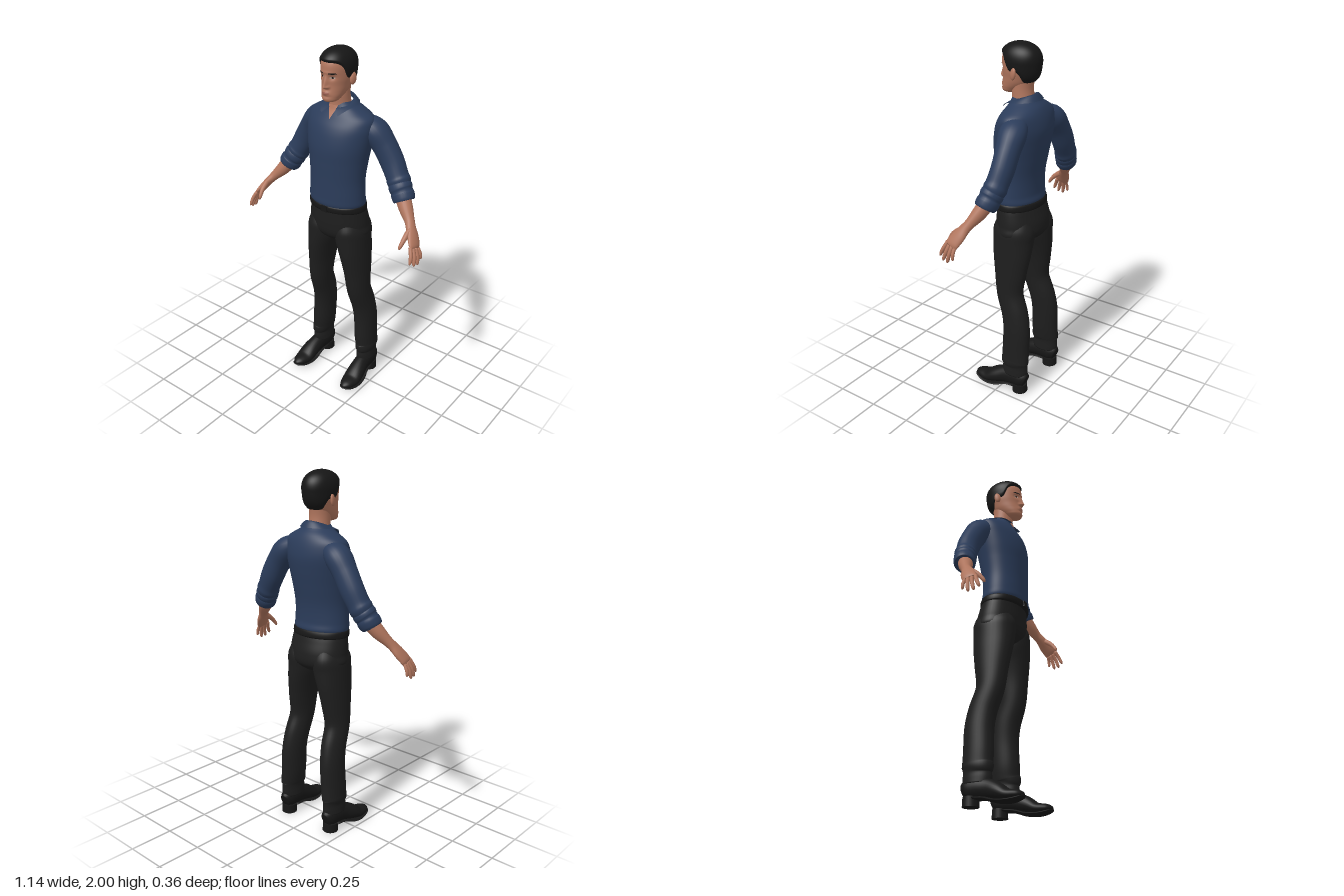
import * as THREE from 'three';

const mat = (name, color, side = THREE.FrontSide) => {
  const m = new THREE.MeshStandardMaterial({ color, side });
  m.name = name;
  return m;
};
const lerp = THREE.MathUtils.lerp;
const gauss = (d, w) => Math.exp(-(d * d) / (w * w));

// Smooth cubic interpolation of table rows, keyed on column 0
function interp(rows, k) {
  const n = rows.length - 1;
  k = Math.min(Math.max(k, rows[0][0]), rows[n][0]);
  let i = 0;
  while (i < n - 1 && k > rows[i + 1][0]) i++;
  const h = rows[i + 1][0] - rows[i][0], t = (k - rows[i][0]) / h;
  const slope = (j, c) => {
    const a = rows[Math.max(j - 1, 0)], b = rows[Math.min(j + 1, n)];
    return (b[c] - a[c]) / (b[0] - a[0]);
  };
  return rows[i].map((p, c) => {
    const q = rows[i + 1][c], t2 = t * t, t3 = t2 * t;
    return p * (2 * t3 - 3 * t2 + 1) + q * (3 * t2 - 2 * t3)
      + h * (slope(i, c) * (t3 - 2 * t2 + t) + slope(i + 1, c) * (t3 - t2));
  });
}

// Surface grid from f(u, v); wrapped grids share the seam vertices
function grid(nu, nv, f, wrap = true) {
  const pos = [], idx = [], cols = wrap ? nu : nu + 1;
  for (let j = 0; j <= nv; j++) for (let i = 0; i < cols; i++) pos.push(...f(i / nu, j / nv));
  for (let j = 0; j < nv; j++) for (let i = 0; i < nu; i++) {
    const a = j * cols + i, b = j * cols + (i + 1) % cols;
    idx.push(a, b, b + cols, a, b + cols, a + cols);
  }
  const g = new THREE.BufferGeometry();
  g.setAttribute('position', new THREE.Float32BufferAttribute(pos, 3));
  g.setIndex(idx);
  g.computeVertexNormals();
  return g;
}

// Upright body from rows [y, half width, front z, back z]
function ringPoint(rows, y, a) {
  const [, rx, zf, zb] = interp(rows, y);
  return [rx * Math.sin(a), y, (zf + zb) / 2 + (zf - zb) / 2 * Math.cos(a)];
}
const body = (rows, nu = 48, nv = 40) => grid(nu, nv, (u, v) =>
  ringPoint(rows, lerp(rows[0][0], rows[rows.length - 1][0], v), u * Math.PI * 2));

// Limb through points [x, y, z, radius across, radius in depth]; round = rounded share of the tip
function limb(points, { ref = [0, 0, 1], nu = 24, nv = 40, round = 0 } = {}) {
  const rows = points.map((p, i) => [i, ...p]), n = rows.length - 1;
  const R = new THREE.Vector3(...ref);
  const P = k => new THREE.Vector3(...interp(rows, k).slice(1, 4));
  return grid(nu, nv + 2, (u, v) => {
    const j = Math.round(v * (nv + 2));
    let t = Math.min(Math.max((j - 1) / nv, 0), 1);
    if (round) t = Math.sin(t * Math.PI / 2);
    const k = t * n, c = P(k);
    const T = P(Math.min(k + 0.02, n)).sub(P(Math.max(k - 0.02, 0))).normalize();
    const U = R.clone().cross(T).normalize(), V = T.clone().cross(U);
    let s = j === 0 || j === nv + 2 ? 0 : 1;
    if (round && t > 1 - round) s *= Math.sqrt(Math.max(0, 1 - ((t - 1 + round) / round) ** 2));
    const [, , , , ra, rb] = interp(rows, k), a = u * Math.PI * 2;
    return c.addScaledVector(U, Math.cos(a) * ra * s).addScaledVector(V, Math.sin(a) * rb * s).toArray();
  });
}

const SHIRT = [[1.145, .158, .1, -.12], [1.16, .168, .112, -.132], [1.2, .167, .113, -.126], [1.3, .163, .113, -.13],
  [1.4, .172, .115, -.148], [1.48, .185, .115, -.163], [1.55, .196, .103, -.172], [1.6, .2, .085, -.168],
  [1.645, .188, .058, -.156], [1.68, .13, .038, -.138], [1.7, .092, .032, -.118], [1.72, .066, .026, -.1]];
const HIPS = [[.905, .012, -.01, -.05], [.93, .09, .05, -.11], [.97, .178, .088, -.154], [1.03, .18, .1, -.16],
  [1.1, .173, .1, -.142], [1.15, .164, .1, -.125]];
const BELT = [[1.118, .166, .1, -.13], [1.124, .173, .111, -.139], [1.156, .17, .112, -.136], [1.162, .16, .1, -.125]];
const NECK = [[1.64, .075, .05, -.1], [1.7, .06, .034, -.088], [1.76, .056, .035, -.08], [1.82, .056, .03, -.085]];
const HEAD = [[1.727, .002, .062, .058], [1.738, .036, .092, .015], [1.76, .052, .099, -.03], [1.79, .064, .094, -.075],
  [1.82, .071, .09, -.098], [1.85, .077, .091, -.112], [1.9, .081, .093, -.12]];
const HEAD_TOP = 1.988;
// Hairline height by angle from the face
const HAIRLINE = [[0, 1.936], [.7, 1.932], [1.05, 1.91], [1.3, 1.86], [1.55, 1.85], [1.8, 1.85], [2.3, 1.8], [3.15, 1.792]];

// Facial relief
function relief(x, y) {
  const ax = Math.abs(x);
  const ridge = y > 1.815 ? Math.min(1, Math.max(0, (1.88 - y) / .065)) : gauss(1.815 - y, .008);
  return .026 * ridge * gauss(x, .0125) + .007 * gauss(ax - .015, .007) * gauss(y - 1.814, .008)
    - .009 * gauss(ax - .032, .016) * gauss(y - 1.862, .013) + .004 * gauss(y - 1.886, .01) * gauss(x, .05)
    + .006 * gauss(x, .024) * gauss(y - 1.783, .011) - .004 * gauss(x, .03) * gauss(y - 1.765, .007);
}
function headPoint(y, a) {
  const p = ringPoint(HEAD, Math.min(y, 1.9), a);
  const k = Math.max(0, (y - 1.9) / (HEAD_TOP - 1.9)), s = Math.sqrt(Math.max(0, 1 - k ** 2.4));
  const z = -.0135 + (p[2] + .0135) * s;
  return [p[0] * s, y, (k > 0 ? z : p[2]) + relief(p[0], y) * Math.max(0, Math.cos(a)) * s];
}
// Thin oval laid on the face
const facePatch = (cx, cy, rx, ry, lift) => grid(24, 4, (u, v) => {
  const a = u * Math.PI * 2, x = cx + rx * (1 - v) * Math.cos(a), y = cy + ry * (1 - v) * Math.sin(a);
  const w = interp(HEAD, y)[1];
  return [x, y, headPoint(y, Math.asin(x / w))[2] + lift];
});

export function createModel() {
  const model = new THREE.Group();
  const skin = mat('skin', 0xb1765e), navy = mat('navy cloth', 0x2b3c5a);
  const collarCloth = mat('collar cloth', 0x293a57, THREE.DoubleSide);
  const black = mat('trouser cloth', 0x1e1e1e), leather = mat('black leather', 0x171717);
  const hairMat = mat('black hair', 0x161616), eyeWhite = mat('eye white', 0xb5a69c);
  const iris = mat('dark iris', 0x24150f), lip = mat('lips', 0x9c5f50);
  const add = (name, geo, material, parent = model) => {
    const m = new THREE.Mesh(geo, material);
    m.name = name;
    parent.add(m);
    return m;
  };

  // Torso and waist
  add('shirt', body(SHIRT, 64, 60), navy);
  add('trouserHips', body(HIPS), black);
  add('belt', body(BELT, 48, 8), leather);
  add('buckle', new THREE.BoxGeometry(.04, .034, .01), leather).position.set(0, 1.14, .113);
  add('neck', body(NECK, 32, 16), skin);
  add('openNeckline', grid(8, 8, (u, v) => {
    const y = lerp(1.635, 1.705, v), x = (2 * u - 1) * .03 * v;
    return [x, y, ringPoint(SHIRT, y, Math.asin(x / interp(SHIRT, y)[1]))[2] + .004];
  }, false), skin);

  // Folded collar: up the inside, over the top, down to the pointed front
  add('collar', grid(48, 8, (u, v) => {
    const fold = Math.max(0, (v - .5) * 2), rise = Math.min(1, v * 2);
    const gap = lerp(.28, .55, fold), a = lerp(gap, Math.PI * 2 - gap, u), c = Math.cos(a);
    const top = 1.72 - .025 * c - (1 - rise) * .03;
    const low = 1.702 - .008 * c - .052 * Math.max(0, c) ** 3;
    const rz = c > 0 ? lerp(.07, .12, fold) : lerp(.07, .095, fold);
    return [lerp(.066, .1, fold) * Math.sin(a), lerp(top, low, fold ** 1.3), -.036 + rz * c];
  }, false), collarCloth);

  // Head and hair
  add('head', grid(128, 90, (u, v) => {
    const y = v < .75 ? lerp(1.727, 1.9, v / .75) : 1.9 + (HEAD_TOP - 1.9) * Math.sin((v - .75) * 2 * Math.PI);
    return headPoint(y, u * Math.PI * 2);
  }), skin);
  add('hair', grid(72, 30, (u, v) => {
    const a = u * Math.PI * 2, line = interp(HAIRLINE, Math.min(a, Math.PI * 2 - a))[1];
    const p = headPoint(lerp(line, HEAD_TOP, Math.sin(v * Math.PI / 2)), a);
    const s = lerp(.97, 1.11, Math.min(1, v * 9) ** .6);
    return [p[0] * s, 1.88 + (p[1] - 1.88) * s, -.02 + (p[2] + .02) * s];
  }), hairMat);
  add('mouth', facePatch(0, 1.782, .023, .007, .0015), lip);

  for (const s of [1, -1]) {
    const side = new THREE.Group();
    side.name = s > 0 ? 'leftSide' : 'rightSide';
    model.add(side);
    const put = (name, pts, material, opt) => add(name, limb(pts.map(([x, ...r]) => [x * s, ...r]), opt), material, side);

    // Face details
    add('eye', facePatch(s * .032, 1.862, .013, .005, .0015), eyeWhite, side);
    add('iris', facePatch(s * .032, 1.862, .0055, .005, .0025), iris, side);
    add('eyebrow', facePatch(s * .034, 1.884, .019, .0035, .002), hairMat, side);
    const ear = add('ear', new THREE.SphereGeometry(1, 20, 14), skin, side);
    ear.scale.set(.011, .032, .019);
    ear.position.set(s * .087, 1.848, -.02);
    ear.rotation.set(-.15, s * -.35, 0);

    // Sleeve with creases and a rolled cuff
    put('sleeve', [[.12, 1.61, -.07, .05, .06], [.185, 1.57, -.085, .069, .075], [.24, 1.5, -.094, .068, .064],
      [.288, 1.42, -.097, .068, .06], [.325, 1.355, -.09, .063, .059], [.34, 1.33, -.086, .066, .062],
      [.352, 1.31, -.081, .06, .057]], navy, { nv: 60 });
    put('rolledCuff', [[.343, 1.325, -.085, .055, .052], [.352, 1.31, -.08, .064, .06], [.362, 1.294, -.076, .065, .061],
      [.37, 1.282, -.073, .06, .057], [.378, 1.268, -.07, .064, .06], [.39, 1.249, -.063, .062, .058],
      [.396, 1.238, -.06, .056, .053]], navy, { nv: 36 });

    // Forearm, palm, fingers
    put('forearmAndPalm', [[.375, 1.27, -.068, .043, .042], [.42, 1.21, -.04, .038, .037], [.46, 1.165, -.014, .027, .028],
      [.482, 1.138, .004, .023, .03], [.507, 1.105, .022, .02, .038], [.53, 1.07, .043, .016, .04],
      [.538, 1.054, .05, .011, .037]], skin);
    const fingers = [[[.529, 1.068, .078], [.552, .988, .114]], [[.535, 1.06, .06], [.561, .97, .088]],
      [[.54, 1.053, .042], [.564, .966, .058]], [[.544, 1.048, .025], [.562, .986, .024]]];
    fingers.forEach(([b, t], i) => {
      const r = i === 3 ? .009 : .0105;
      const mid = b.map((c, k) => (c + t[k]) / 2 + (k === 0 ? .006 : 0));
      put('finger', [[...b, r, r], [...mid, r, r], [...t, r * .8, r * .8]], skin, { nu: 12, nv: 14, round: .2 });
    });
    put('thumb', [[.488, 1.135, .02, .015, .017], [.487, 1.105, .064, .014, .014], [.484, 1.078, .09, .011, .011],
      [.479, 1.05, .108, .009, .009]], skin, { nu: 14, nv: 16, round: .2 });

    // Trouser leg, creased above the hem
    put('trouserLeg', [[.088, 1.06, -.03, .07, .1], [.091, 1, -.03, .09, .122], [.096, .94, -.028, .091, .12],
      [.112, .85, -.028, .078, .113], [.125, .75, -.028, .068, .098], [.135, .62, -.03, .062, .08],
      [.143, .5, -.068, .061, .08], [.15, .4, -.084, .06, .082], [.156, .28, -.083, .059, .083],
      [.161, .22, -.084, .056, .083], [.164, .195, -.082, .054, .086], [.163, .17, -.084, .048, .078],
      [.163, .14, -.083, .049, .08], [.163, .112, -.083, .05, .078]], black, { nu: 32, nv: 70 });

    // Shoe and heel
    put('shoe', [[.163, .075, -.157, .028, .04], [.164, .085, -.13, .042, .054], [.165, .088, -.08, .045, .056],
      [.169, .08, -.02, .045, .052], [.176, .06, .04, .052, .044], [.179, .039, .09, .053, .032],
      [.18, .036, .135, .042, .026], [.18, .036, .18, .024, .016]], leather,
      { ref: [0, 1, 0], nu: 28, nv: 40, round: .1 });
    put('sole', [[.165, .04, -.09, .042, .009], [.169, .034, -.03, .042, .009], [.176, .016, .03, .053, .009],
      [.179, .01, .085, .055, .008], [.18, .015, .135, .045, .008], [.18, .028, .183, .026, .007]].map(
      ([x, y, z, a, b]) => [x, y, z, a, b]), leather, { ref: [0, 1, 0], nu: 24, nv: 24, round: .1 });
    const heel = add('heel', new THREE.CylinderGeometry(.042, .044, .05, 28), leather, side);
    heel.position.set(s * .164, .025, -.117);
  }
  return model;
}
